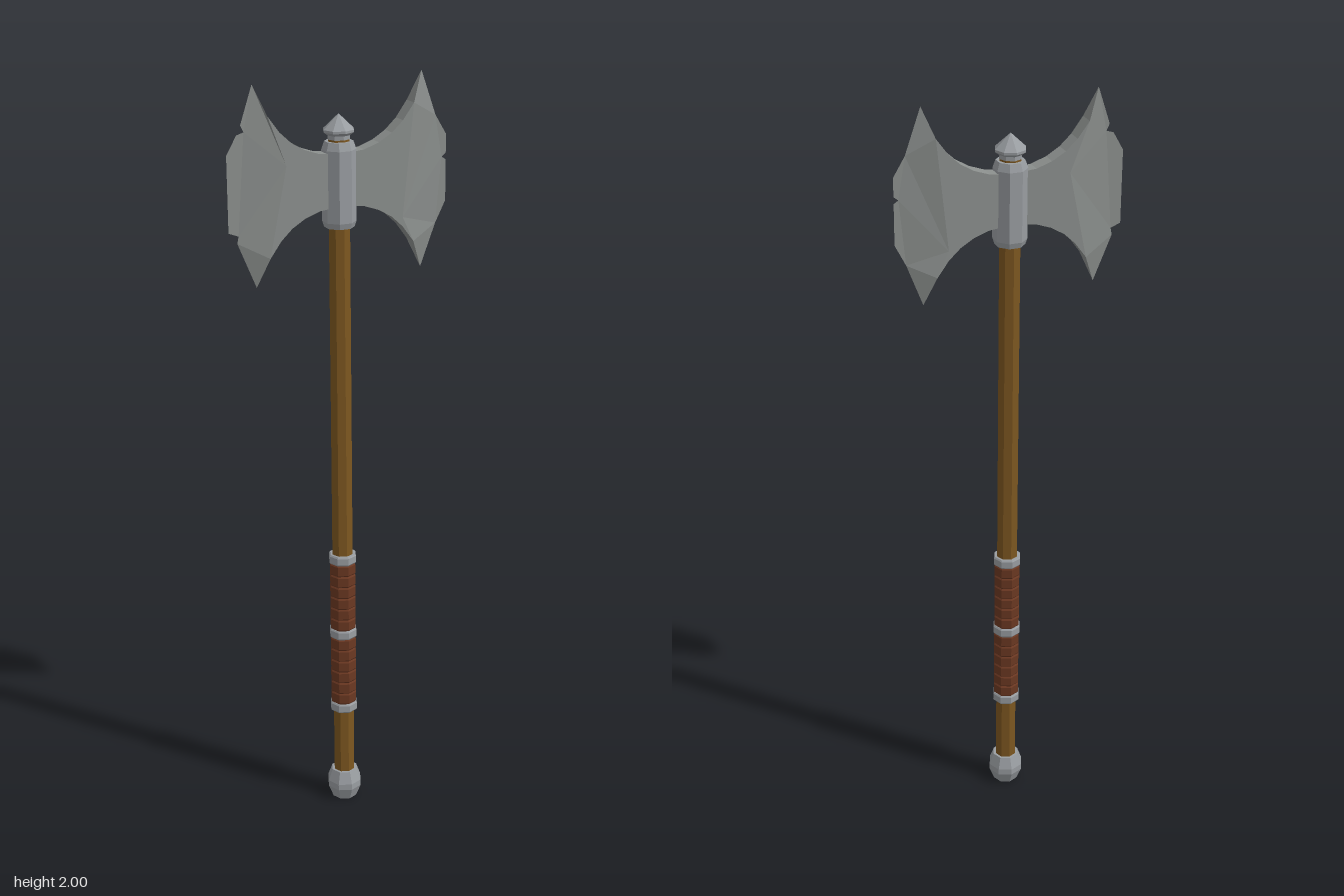
import * as THREE from 'three';

const mat = (name, color) => Object.assign(new THREE.MeshStandardMaterial({ color }), { name });

// Faceted mesh: unshared vertices give flat normals
function faceted(name, geometry, material) {
  const g = geometry.index ? geometry.toNonIndexed() : geometry;
  g.computeVertexNormals();
  const mesh = new THREE.Mesh(g, material);
  mesh.name = name;
  return mesh;
}

// Eight-sided turned part from [radius, y] pairs, bottom to top
function turned(name, profile, material, turn = 0) {
  const g = new THREE.LatheGeometry(profile.map(([r, y]) => new THREE.Vector2(r, y)), 8);
  g.rotateY(turn);
  return faceted(name, g, material);
}

const band = (name, r, y0, y1, material) =>
  turned(name, [[0, y0], [r - 0.003, y0], [r, y0 + 0.004], [r, y1 - 0.004], [r - 0.003, y1], [0, y1]], material);

// Blade pointing to +x: flat cheeks, bevels falling to a sharp edge, concave top and bottom
const BLADE_Y = 1.75;
const CURVE = [[0.02, 0.067], [0.06, 0.071], [0.1, 0.085], [0.135, 0.106], [0.165, 0.134], [0.195, 0.175]];
const RIDGE = [[0.165, 0.11], [0.148, 0.05], [0.148, -0.05], [0.165, -0.11]];

function bladeGeometry(edge) {
  const pos = [];
  const P = (x, y, h) => ({ x, y, h });
  const body = (p) => P(p[0], p[1], 0.018 + p[0] * 0.015);
  const top = CURVE.map(body);
  const bottom = top.map((p) => P(p.x, -p.y, p.h));
  const ridge = RIDGE.map(body);
  const rim = edge.map(([x, y]) => P(x, y - BLADE_Y, 0));
  const put = (p, s) => pos.push(p.x, p.y + BLADE_Y, p.h * s);

  // Both sides of the cheek and of the bevel
  const fill = (pts) => {
    const flat = pts.map((p) => new THREE.Vector2(p.x, p.y));
    for (const t of THREE.ShapeUtils.triangulateShape(flat, [])) {
      let [a, b, c] = t.map((i) => pts[i]);
      if ((b.x - a.x) * (c.y - a.y) - (b.y - a.y) * (c.x - a.x) < 0) [b, c] = [c, b];
      [a, b, c].forEach((p) => put(p, 1));
      [a, c, b].forEach((p) => put(p, -1));
    }
  };
  fill([...top, ...ridge, ...[...bottom].reverse()]);
  fill([top.at(-1), ...rim, bottom.at(-1), ...[...ridge].reverse()]);

  // Walls along the concave curves, running out to the points
  const wall = (pts) => {
    for (let i = 0; i < pts.length - 1; i++) {
      const a = pts[i], b = pts[i + 1];
      put(a, 1); put(b, 1); put(a, -1);
      if (b.h > 0) { put(b, 1); put(b, -1); put(a, -1); }
    }
  };
  wall([...top, rim[0]]);
  // Reversed order keeps the lower wall facing down
  const low = [...bottom, rim.at(-1)].reverse();
  for (let i = 0; i < low.length - 1; i++) {
    const a = low[i], b = low[i + 1];
    put(b, 1); put(b, -1); put(a, 1);
    if (a.h > 0) { put(a, 1); put(b, -1); put(a, -1); }
  }
  const g = new THREE.BufferGeometry();
  g.setAttribute('position', new THREE.Float32BufferAttribute(pos, 3));
  return g;
}

export function createModel() {
  const wood = mat('wood', 0x7d5720);
  const leather = mat('leather', 0x6b3822);
  const steel = mat('blade steel', 0x8b8f8d);
  const fitting = mat('fitting steel', 0x999da1);

  const axe = new THREE.Group();
  axe.name = 'axe';

  // Shaft and end fittings
  axe.add(turned('shaft', [[0, 0.05], [0.029, 0.05], [0.028, 1.86], [0, 1.86]], wood));
  axe.add(turned('pommel', [[0, 0], [0.034, 0], [0.048, 0.035], [0.048, 0.052], [0.036, 0.085], [0, 0.085]], fitting));
  axe.add(turned('topCap', [[0, 1.85], [0.029, 1.85], [0.029, 1.86], [0.04, 1.868], [0.04, 1.874], [0, 1.912]], fitting));

  // Grip: three steel rings with wrapped leather between
  for (const y of [0.272, 0.495, 0.714]) axe.add(band('gripRing', 0.038, y, y + 0.026, fitting));
  for (const [y0, y1] of [[0.298, 0.495], [0.521, 0.714]]) {
    const step = (y1 - y0) / 6;
    for (let i = 0; i < 6; i++) {
      axe.add(band('leatherWrap', 0.036, y0 + i * step, y0 + (i + 1) * step, leather));
    }
  }

  // Head: socket and two chipped blades, turned very slightly on the shaft
  const head = new THREE.Group();
  head.name = 'head';
  head.add(turned('socket', [[0, 1.63], [0.038, 1.63], [0.043, 1.645], [0.043, 1.825], [0.036, 1.845], [0, 1.845]],
    fitting, Math.PI / 8));
  const leftEdge = [[0.225, 2], [0.265, 1.885], [0.295, 1.835], [0.295, 1.787], [0.283, 1.778], [0.295, 1.77],
    [0.295, 1.665], [0.267, 1.61], [0.225, 1.5]];
  const rightEdge = [[0.225, 2], [0.257, 1.905], [0.249, 1.888], [0.268, 1.882], [0.295, 1.835],
    [0.295, 1.645], [0.269, 1.635], [0.273, 1.617], [0.225, 1.5]];
  head.add(faceted('leftBlade', bladeGeometry(leftEdge), steel));
  const rightBlade = faceted('rightBlade', bladeGeometry(rightEdge), steel);
  rightBlade.rotation.y = Math.PI;
  head.add(rightBlade);
  head.rotation.y = -0.018;
  axe.add(head);

  // The whole axe leans back a little
  axe.rotation.x = -0.0195;
  axe.position.z = 0.016;
  const model = new THREE.Group();
  model.name = 'battleAxe';
  model.add(axe);
  return model;
}
